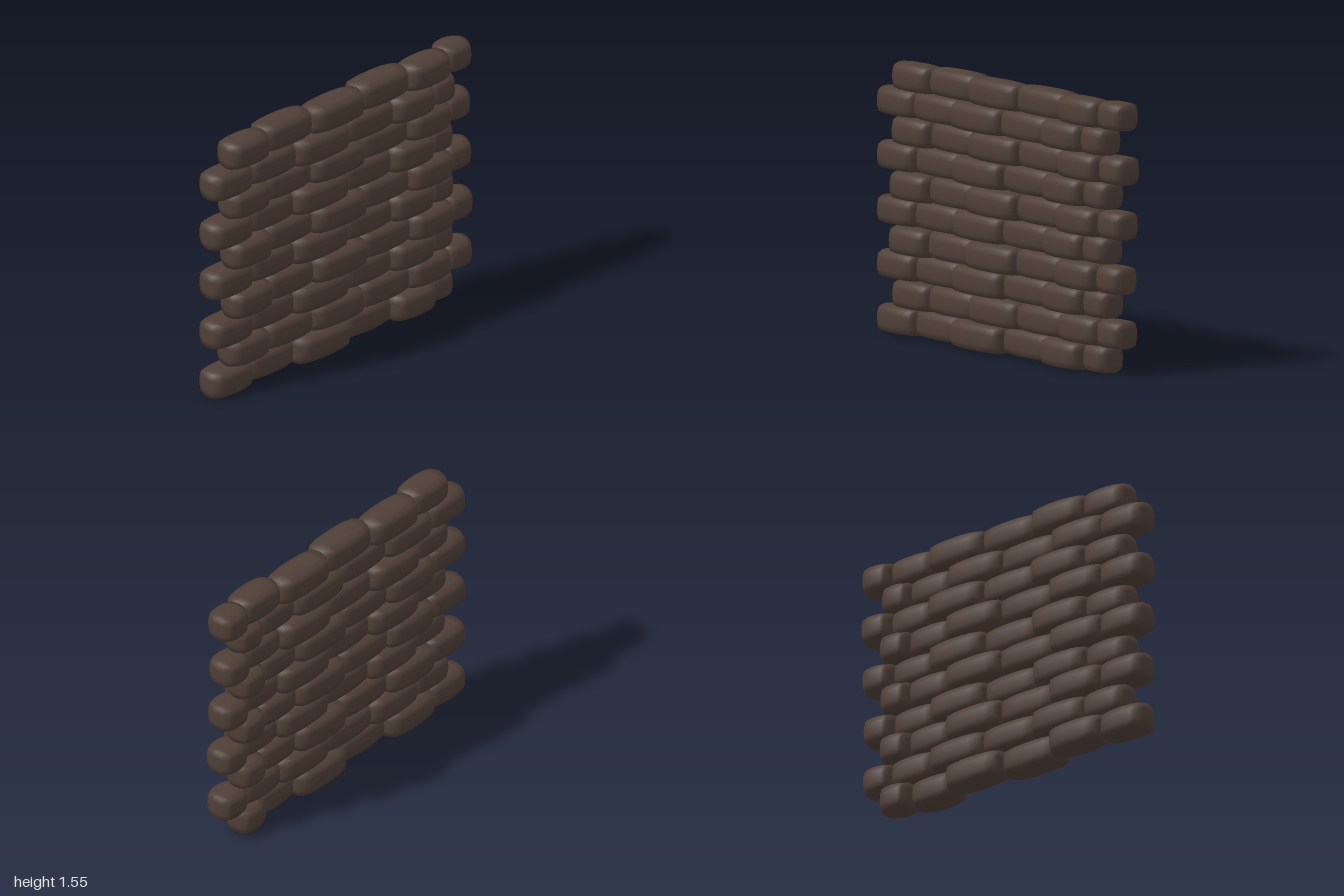
import * as THREE from 'three';
import { mergeVertices } from 'three/addons/utils/BufferGeometryUtils.js';

const HALF_WIDTH = 0.09;
const ROW_HEIGHT = 0.154;

// Brick joints along z, from front to back, for the two alternating courses
const EVEN_JOINTS = [1.0, 0.71, 0.363, -0.018, -0.387, -0.68, -0.866];
const ODD_JOINTS = [0.867, 0.585, 0.23, -0.145, -0.515, -0.81, -1.0];

// How far each course sticks out to -x and +x, bottom to top
const REACH = [
  [0.125, 0.115], [0.11, 0.095], [0.125, 0.1], [0.105, 0.121], [0.12, 0.096],
  [0.115, 0.115], [0.125, 0.1], [0.125, 0.1], [0.105, 0.11], [0.115, 0.096],
];

// A pillow-shaped brick: a box whose faces bulge towards their middles
function brickGeometry(length) {
  const geo = new THREE.BoxGeometry(2, 2, 2, 4, 4, 6);
  geo.deleteAttribute('uv');
  geo.deleteAttribute('normal');
  const p = geo.attributes.position;
  for (let i = 0; i < p.count; i++) {
    const u = p.getX(i), v = p.getY(i), w = p.getZ(i);
    const end = w ** 4;
    p.setXYZ(
      i,
      u * (HALF_WIDTH - 0.008 * v * v - 0.007 * w * w - 0.005 * end),
      v * (0.081 - 0.014 * u * u - 0.003 * w * w - 0.003 * end),
      w * (length / 2 + 0.002 - 0.016 * u * u - 0.004 * v * v),
    );
  }
  const smooth = mergeVertices(geo);
  smooth.computeVertexNormals();
  return smooth;
}

export function createModel() {
  const wall = new THREE.Group();
  wall.name = 'brickWall';
  const darkBrown = new THREE.MeshStandardMaterial({ color: 0x4f3f37 });
  darkBrown.name = 'darkBrown';

  REACH.forEach(([left, right], row) => {
    const course = new THREE.Group();
    course.name = `course${row + 1}`;
    course.position.y = 0.09 + row * ROW_HEIGHT;
    const even = row % 2 === 0;
    const joints = even ? EVEN_JOINTS : ODD_JOINTS;

    for (let i = 0; i < 6; i++) {
      const length = joints[i] - joints[i + 1];
      const brick = new THREE.Mesh(brickGeometry(length), darkBrown);
      brick.name = 'brick';
      // Bricks step alternately to either side of the wall
      let x = i % 2 ? HALF_WIDTH - left : right - HALF_WIDTH;
      if (even && i === 0) x = 0;
      brick.position.set(x, 0, (joints[i] + joints[i + 1]) / 2);
      course.add(brick);
    }
    wall.add(course);
  });

  return wall;
}
